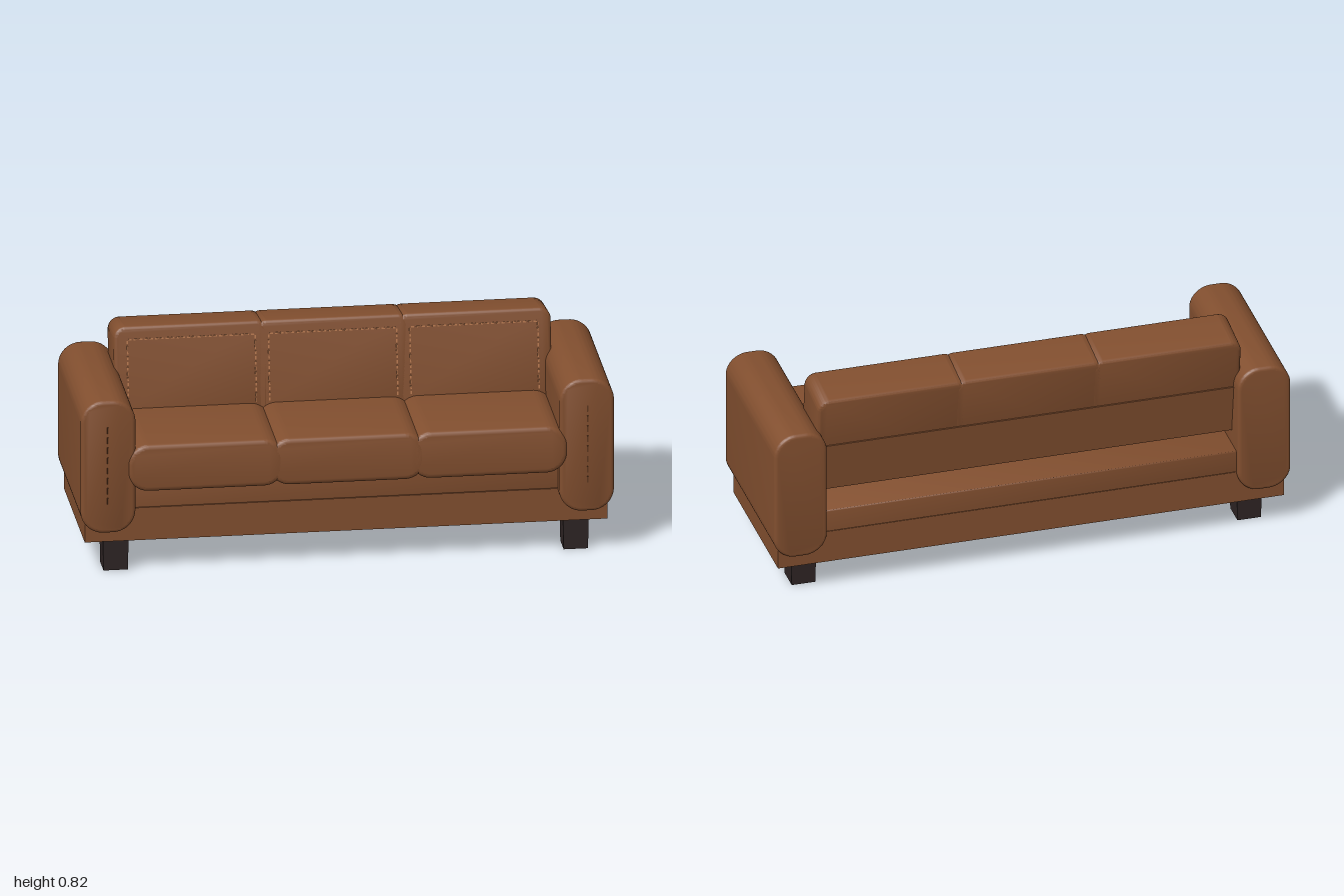
import * as THREE from 'three';
import { toCreasedNormals } from 'three/addons/utils/BufferGeometryUtils.js';

const leather = new THREE.MeshStandardMaterial({ color: 0x824f2f });
leather.name = 'brown leather';
const lightThread = new THREE.MeshStandardMaterial({ color: 0xb87a50 });
lightThread.name = 'light thread';
const darkThread = new THREE.MeshStandardMaterial({ color: 0x5e3820 });
darkThread.name = 'dark thread';
const darkWood = new THREE.MeshStandardMaterial({ color: 0x2e2424 });
darkWood.name = 'dark wood';

// Block with a rounded outline in x/y, and softened front and back edges
function softBlock(w, h, d, r, bevel) {
  const s = new THREE.Shape();
  const x = w / 2, y = h / 2;
  s.moveTo(-x + r, -y);
  s.lineTo(x - r, -y);
  s.absarc(x - r, -y + r, r, -Math.PI / 2, 0);
  s.lineTo(x, y - r);
  s.absarc(x - r, y - r, r, 0, Math.PI / 2);
  s.lineTo(-x + r, y);
  s.absarc(-x + r, y - r, r, Math.PI / 2, Math.PI);
  s.lineTo(-x, -y + r);
  s.absarc(-x + r, -y + r, r, Math.PI, Math.PI * 1.5);
  const geo = new THREE.ExtrudeGeometry(s, {
    depth: d - 2 * bevel, curveSegments: 10,
    bevelEnabled: true, bevelThickness: bevel, bevelSize: bevel,
    bevelOffset: -bevel, bevelSegments: 4,
  });
  geo.translate(0, 0, -(d - 2 * bevel) / 2);
  return toCreasedNormals(geo, 0.6);
}

function add(parent, name, geo, mat, x, y, z) {
  const mesh = new THREE.Mesh(geo, mat);
  mesh.name = name;
  mesh.position.set(x, y, z);
  parent.add(mesh);
  return mesh;
}

// Row of short thread plates between two points on a plane facing z
function stitches(parent, name, mat, from, to, z, period) {
  const dx = to[0] - from[0], dy = to[1] - from[1];
  const count = Math.round(Math.hypot(dx, dy) / period);
  const geo = new THREE.BoxGeometry(period * 0.6, 0.005, 0.006);
  for (let i = 0; i < count; i++) {
    const t = (i + 0.5) / count;
    const m = add(parent, name, geo, mat, from[0] + dx * t, from[1] + dy * t, z);
    m.rotation.z = Math.atan2(dy, dx);
  }
}

export function createModel() {
  const sofa = new THREE.Group();
  sofa.name = 'sofa';

  // Plinth and the deck under the seat
  add(sofa, 'plinth', new THREE.BoxGeometry(1.96, 0.128, 0.59), leather, 0, 0.181, -0.015);
  add(sofa, 'seatDeck', softBlock(1.62, 0.092, 0.585, 0.008, 0.006), leather, 0, 0.289, -0.0165);

  // Arms with a line of stitching on the front
  const armGeo = softBlock(0.205, 0.522, 0.663, 0.085, 0.014);
  for (const side of [-1, 1]) {
    add(sofa, side > 0 ? 'leftArm' : 'rightArm', armGeo, leather, side * 0.8975, 0.428, -0.003);
    stitches(sofa, 'armStitch', darkThread, [side * 0.9, 0.275], [side * 0.9, 0.595], 0.3295, 0.04);
  }

  // Slightly tapered legs
  const legGeo = new THREE.BoxGeometry(0.096, 0.12, 0.099);
  const p = legGeo.attributes.position;
  for (let i = 0; i < p.count; i++) {
    if (p.getY(i) < 0) p.setXYZ(i, p.getX(i) * 0.95, p.getY(i), p.getZ(i) * 0.96);
  }
  legGeo.computeVertexNormals();
  for (const x of [-0.863, 0.863]) {
    for (const z of [-0.2, 0.225]) {
      add(sofa, z > 0 ? 'frontLeg' : 'backLeg', legGeo, darkWood, x, 0.06, z);
    }
  }

  // Seat cushions, pressed together at the seams
  const seatGeo = softBlock(0.59, 0.184, 0.445, 0.08, 0.018);
  for (const x of [-0.53, 0, 0.53]) {
    add(sofa, 'seatCushion', seatGeo, leather, x, 0.418, 0.1135);
  }

  // Reclined backrest: its origin is the middle of the top edge
  const back = new THREE.Group();
  back.name = 'backrest';
  back.position.set(0, 0.807, -0.204);
  back.rotation.x = -0.138;
  sofa.add(back);
  add(back, 'backPanel', new THREE.BoxGeometry(1.6, 0.2, 0.13), leather, 0, -0.305, -0.036);

  const backGeo = softBlock(0.58, 0.36, 0.192, 0.045, 0.014);
  for (const x of [-0.53, 0, 0.53]) {
    add(back, 'backCushion', backGeo, leather, x, -0.18, 0);
    const l = x - 0.24, r = x + 0.24, z = 0.097;
    stitches(back, 'cushionStitch', lightThread, [l, -0.05], [r, -0.05], z, 0.02);
    stitches(back, 'cushionStitch', lightThread, [l, -0.05], [l, -0.31], z, 0.02);
    stitches(back, 'cushionStitch', lightThread, [r, -0.05], [r, -0.31], z, 0.02);
  }

  return sofa;
}
